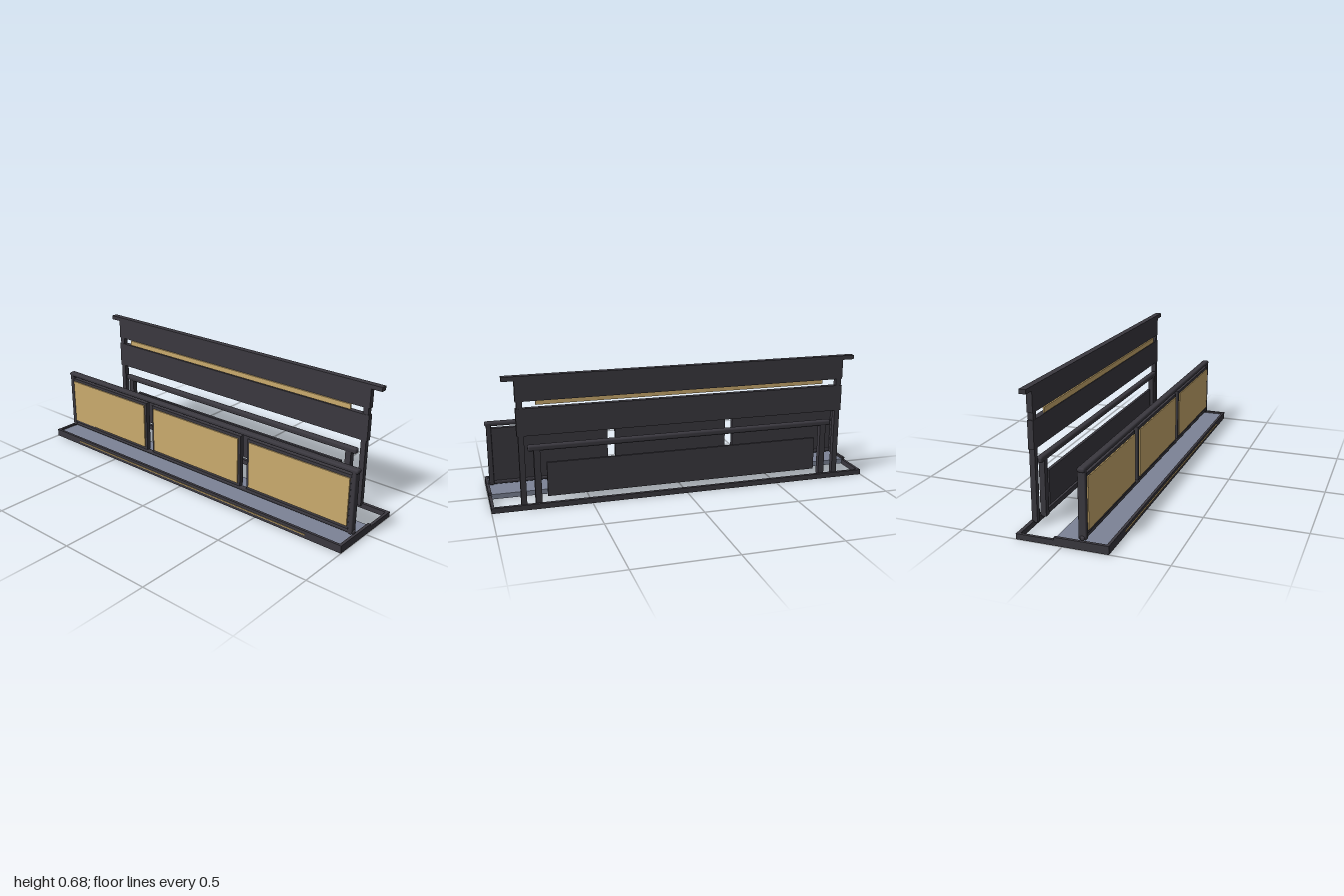
import * as THREE from 'three';
import { RoundedBoxGeometry } from 'three/addons/geometries/RoundedBoxGeometry.js';

export function createModel() {
  const model = new THREE.Group();
  const material = (name, color) => {
    const m = new THREE.MeshStandardMaterial({ color });
    m.name = name;
    return m;
  };
  const dark = material('charcoal metal', 0x3a383f);
  const tan = material('tan panel', 0xcaab6e);
  const blue = material('blue grey floor', 0x7c8396);

  // Block given by its extents on each axis; a radius rounds its edges
  function block(name, mat, [x0, x1], [y0, y1], [z0, z1], radius = 0) {
    const size = [x1 - x0, y1 - y0, z1 - z0];
    const geo = radius
      ? new RoundedBoxGeometry(...size, 3, radius)
      : new THREE.BoxGeometry(...size);
    const mesh = new THREE.Mesh(geo, mat);
    mesh.position.set((x0 + x1) / 2, (y0 + y1) / 2, (z0 + z1) / 2);
    mesh.name = name;
    model.add(mesh);
  }
  // The same block on both sides
  function pair(name, mat, [x0, x1], y, z, radius) {
    block(name + 'Left', mat, [x0, x1], y, z, radius);
    block(name + 'Right', mat, [-x1, -x0], y, z, radius);
  }

  // Base tray with its rim and the open rear frame
  block('trayFloor', blue, [-0.987, 0.987], [0.004, 0.03], [-0.038, 0.209]);
  block('trayFrontRim', dark, [-1, 1], [0, 0.04], [0.207, 0.221]);
  pair('traySideRim', dark, [0.985, 1], [0, 0.04], [-0.04, 0.207]);
  pair('rearArm', dark, [0.985, 1], [0, 0.027], [-0.207, -0.04]);
  block('rearBaseBar', dark, [-1, 1], [0, 0.027], [-0.225, -0.207]);
  block('frontAccentStrip', tan, [-0.8, 0.8], [0.018, 0.023], [0.221, 0.225]);

  // Front barrier frame
  block('barrierTopRail', dark, [-0.992, 0.992], [0.356, 0.378], [0.073, 0.11], 0.009);
  block('barrierBottomRail', dark, [-0.992, 0.992], [0.04, 0.06], [0.08, 0.104], 0.008);
  pair('barrierPost', dark, [0.96, 0.984], [0.04, 0.376], [0.072, 0.11], 0.006);

  // Three front panels, each a dark backing with a tan face
  for (const [x0, x1] of [[-0.968, -0.355], [-0.312, 0.312], [0.355, 0.968]]) {
    block('panelBacking', dark, [x0, x1], [0.062, 0.344], [0.08, 0.105]);
    block('panelFace', tan, [x0 + 0.014, x1 - 0.014], [0.078, 0.328], [0.105, 0.111]);
  }

  // Rear lower rail on short posts, with a low panel between them
  block('rearRail', dark, [-0.81, 0.81], [0.295, 0.325], [-0.212, -0.18], 0.01);
  pair('rearShortPost', dark, [0.75, 0.782], [0.02, 0.3], [-0.21, -0.181]);
  block('rearLowPanel', dark, [-0.72, 0.72], [0.055, 0.23], [-0.205, -0.19]);

  // Tall rear posts carrying the two boards and the cap
  pair('rearTallPost', dark, [0.826, 0.854], [0.02, 0.655], [-0.218, -0.191]);
  block('lowerBoard', dark, [-0.86, 0.86], [0.378, 0.515], [-0.219, -0.19]);
  block('upperBoard', dark, [-0.86, 0.86], [0.55, 0.655], [-0.219, -0.19]);
  block('topCap', dark, [-0.92, 0.92], [0.653, 0.675], [-0.222, -0.188]);
  block('rearAccentStrip', tan, [-0.76, 0.76], [0.523, 0.55], [-0.19, -0.182]);

  return model;
}
